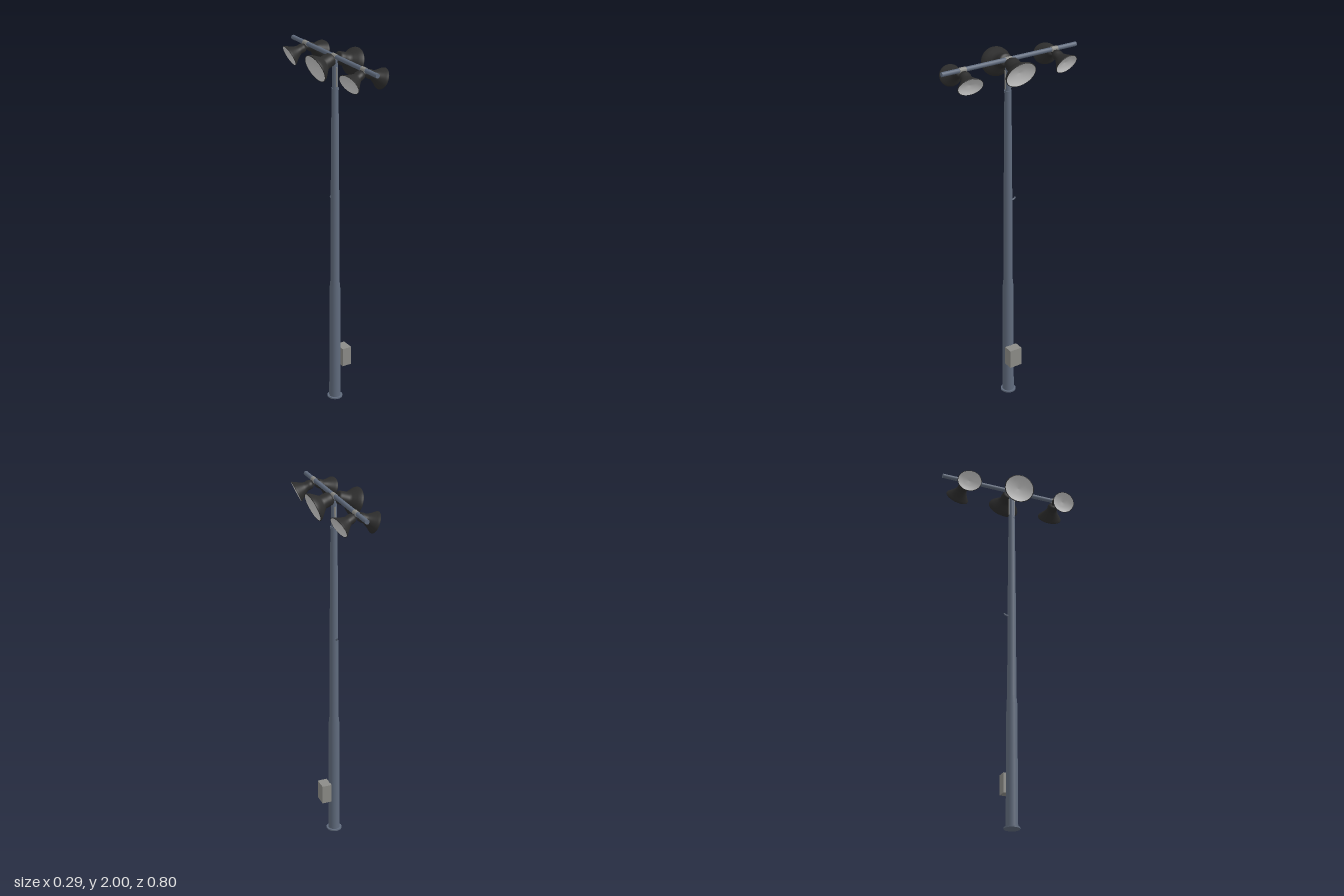
import * as THREE from 'three';

const mat = (color) => new THREE.MeshStandardMaterial({ color, side: THREE.DoubleSide, roughness: 0.8 });
const POLE_Z = 0.015;

export function createModel() {
  const steel = mat(0x606b7d), black = mat(0x2c2c2c), grey = mat(0x8c8c88), lens = mat(0xcccccc);
  const model = new THREE.Group();

  const add = (name, geometry, material, x = 0, y = 0, z = 0, parent = model) => {
    const mesh = new THREE.Mesh(geometry, material);
    mesh.name = name;
    mesh.position.set(x, y, z);
    parent.add(mesh);
    return mesh;
  };
  const lathe = (pts, sides) => new THREE.LatheGeometry(pts.map(([r, y]) => new THREE.Vector2(r, y)), sides);

  // Tapered pole with a slim spigot on top, base plate and collar
  add('pole', lathe([[0.032, 0], [0.029, 0.68], [0.025, 0.72], [0.022, 1.34], [0.018, 1.8]], 20), steel, 0, 0, POLE_Z);
  add('poleTop', new THREE.CylinderGeometry(0.014, 0.016, 0.18, 20), steel, 0, 1.885, POLE_Z);
  add('basePlate', new THREE.CylinderGeometry(0.042, 0.042, 0.008, 24), steel, 0, 0.004, POLE_Z);
  add('collar', new THREE.CylinderGeometry(0.019, 0.019, 0.014, 20), steel, 0, 1.805, POLE_Z);

  // Control box on the left side of the pole
  add('controlBox', new THREE.BoxGeometry(0.054, 0.108, 0.072), grey, 0.055, 0.252, POLE_Z + 0.002);

  // Small hook on the back of the pole
  const hook = new THREE.CatmullRomCurve3([
    new THREE.Vector3(0, 1.19, 0), new THREE.Vector3(0, 1.19, -0.02), new THREE.Vector3(0, 1.2, -0.031),
  ]);
  add('hook', new THREE.TubeGeometry(hook, 8, 0.0045, 8), steel);

  // Cross bar along z
  add('crossBar', new THREE.CylinderGeometry(0.012, 0.012, 0.8, 16).rotateX(Math.PI / 2), steel, 0, 1.975, 0);

  // Bell lamp: axis along local +x, flattened vertically
  const bell = (pts, flat) => lathe(pts, 40).rotateZ(-Math.PI / 2).scale(1, flat, 1);
  const big = {
    flat: 0.86, tilt: 0.37, yaw: 0, start: [0.02, 1.966],
    shell: [[0, -0.008], [0.03, -0.005], [0.038, 0.003], [0.041, 0.025], [0.041, 0.046], [0.052, 0.058],
      [0.07, 0.076], [0.082, 0.089], [0.087, 0.1], [0.087, 0.103], [0.083, 0.103]],
    dish: [[0, 0.086], [0.035, 0.089], [0.065, 0.096], [0.083, 0.103]],
  };
  const small = {
    flat: 0.82, tilt: 0.44, yaw: 0.15, start: [0.015, 1.957],
    shell: [[0, -0.006], [0.02, -0.004], [0.027, 0.004], [0.03, 0.018], [0.028, 0.03], [0.034, 0.042],
      [0.046, 0.06], [0.06, 0.077], [0.067, 0.086], [0.068, 0.09], [0.065, 0.09]],
    dish: [[0, 0.076], [0.03, 0.079], [0.05, 0.084], [0.065, 0.09]],
  };

  // Three lamp pairs, the outer ones turned towards the bar ends
  [[-0.265, small, -1], [0.012, big, 0], [0.281, small, 1]].forEach(([z, lamp, outward]) => {
    add('clamp', new THREE.CylinderGeometry(0.014, 0.014, 0.037, 16).rotateX(Math.PI / 2), grey, 0, 1.975, z);
    add('clampBlock', new THREE.BoxGeometry(0.034, 0.022, 0.022), black, 0, 1.962, z);
    for (const side of [-1, 1]) {
      const head = new THREE.Group();
      head.name = 'lampHead';
      head.position.set(side * lamp.start[0], lamp.start[1], z);
      head.rotation.order = 'YXZ';
      head.rotation.y = Math.atan2(-outward * Math.sin(lamp.yaw), side * Math.cos(lamp.yaw));
      head.rotation.z = -lamp.tilt;
      add('lampShade', bell(lamp.shell, lamp.flat), black, 0, 0, 0, head);
      add('lampLens', bell(lamp.dish, lamp.flat), lens, 0, 0, 0, head);
      model.add(head);
    }
  });

  // Cable strips down the pole top
  for (const s of [-1, 1]) {
    add('cableStrip', new THREE.BoxGeometry(0.008, 0.1, 0.005), grey, 0, 1.87, POLE_Z + s * 0.0155);
  }
  return model;
}
